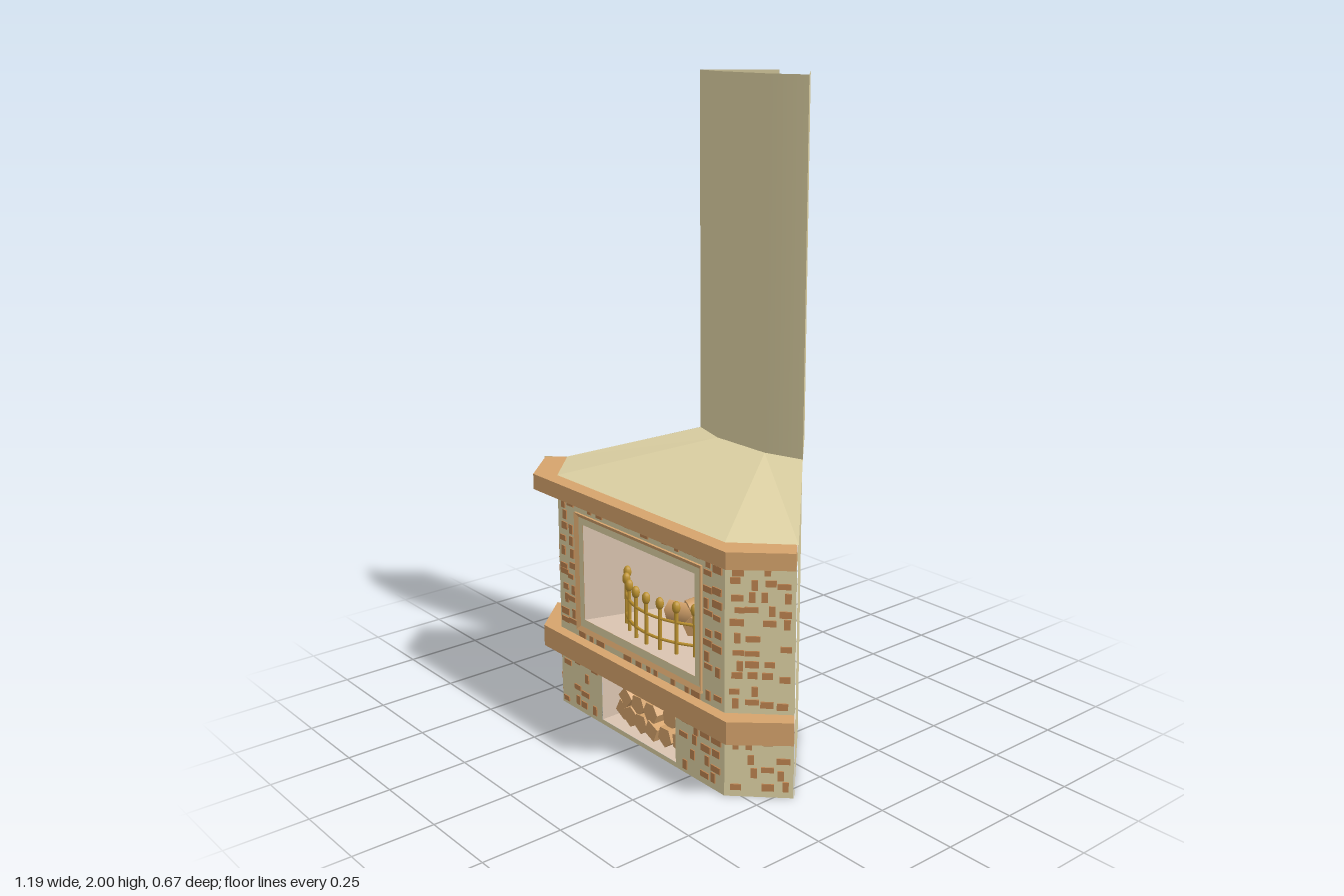
import * as THREE from 'three';
import { mergeGeometries } from 'three/addons/utils/BufferGeometryUtils.js';

const mat = (name, color, double) => {
  const m = new THREE.MeshStandardMaterial({ color });
  m.name = name;
  if (double) m.side = THREE.DoubleSide;
  return m;
};

// Open sheet made of flat convex polygons, each a list of [x, y, z]
function sheet(polys) {
  const pos = [];
  for (const p of polys)
    for (let i = 1; i < p.length - 1; i++) pos.push(...p[0], ...p[i], ...p[i + 1]);
  const g = new THREE.BufferGeometry();
  g.setAttribute('position', new THREE.Float32BufferAttribute(pos, 3));
  g.computeVertexNormals();
  return g;
}

const shapeOf = pts => new THREE.Shape(pts.map(p => new THREE.Vector2(...p)));
const rect = (x0, x1, y0, y1) => [[x0, y0], [x1, y0], [x1, y1], [x0, y1]];

export function createModel() {
  const model = new THREE.Group();
  const plaster = mat('cream plaster', 0xded2a4, true);
  const wood = mat('wood', 0xd6a46c);
  const brick = mat('brick', 0xbd8350);
  const lining = mat('pink lining', 0xdac4b0, true);
  const brass = mat('brass', 0xbf9430);

  const add = (name, geo, material, parent = model) => {
    const m = new THREE.Mesh(geo, material);
    m.name = name;
    parent.add(m);
    return m;
  };
  let seed = 11;
  const rnd = () => (seed = (seed * 16807) % 2147483647) / 2147483647;

  // Front wall with the fire and log openings
  const front = shapeOf(rect(-0.4, 0.4, 0, 0.77));
  front.holes.push(shapeOf(rect(-0.27, 0.27, 0.325, 0.64)), shapeOf(rect(-0.185, 0.18, 0.015, 0.175)));
  add('frontWall', new THREE.ShapeGeometry(front).translate(0, 0, 0.285), plaster);

  // Slanted cheeks, and rear walls that also close the shelf ends
  for (const s of [1, -1]) {
    add('cheek', sheet([[[s * 0.4, 0, 0.285], [s * 0.54, 0, 0.145], [s * 0.54, 0.77, 0.145], [s * 0.4, 0.77, 0.285]]]), plaster);
    const outline = shapeOf([[-0.16, 0], [0.145, 0], [0.145, 0.19], [0.18, 0.19], [0.18, 0.26], [0.145, 0.26],
      [0.145, 0.72], [0.2, 0.72], [0.2, 0.77], [0.145, 0.77], [-0.16, 0.88]]);
    const g = new THREE.ShapeGeometry(outline), p = g.attributes.position;
    for (let i = 0; i < p.count; i++) {
      const z = p.getX(i);
      p.setXYZ(i, s * (z + 0.397), p.getY(i), z - 0.001);
    }
    g.computeVertexNormals();
    add('rearWall', g, plaster);
  }

  // Hood rising from the upper shelf to the chimney
  const arc = [[-0.237, -0.163], [-0.11, -0.125], [0.11, -0.125], [0.237, -0.163]];
  const top = arc.map(([x, z]) => [x, 0.88, z]);
  const [a, b, c, d] = [[-0.545, 0.77, 0.145], [-0.4, 0.77, 0.285], [0.4, 0.77, 0.285], [0.545, 0.77, 0.145]];
  add('hood', sheet([[b, c, top[2], top[1]], [a, b, top[1]], [a, top[1], top[0]], [c, d, top[2]], [d, top[3], top[2]]]), plaster);

  // Chimney: smooth bowed front and two slanted wings
  const bow = new THREE.PlaneGeometry(1, 1.12, 3, 1), bp = bow.attributes.position;
  for (let i = 0; i < bp.count; i++) bp.setXYZ(i, arc[i % 4][0], bp.getY(i) + 1.44, arc[i % 4][1]);
  bow.computeVertexNormals();
  add('chimneyFront', bow, plaster);
  for (const s of [1, -1])
    add('chimneyWing', sheet([[[s * 0.237, 0.88, -0.163], [s * 0.067, 0.88, -0.333], [s * 0.067, 2, -0.333], [s * 0.237, 2, -0.163]]]), plaster);

  // Wooden shelves wrapped around the front
  const shelf = (name, x0, z0, x1, z1, y0, y1) => {
    const half = [[x0, z0], [x1, z1], [-x1, z1], [-x0, z0]];
    const ring = shapeOf([...half, [-0.54, 0.145], [-0.4, 0.284], [0.4, 0.284], [0.54, 0.145]]);
    const g = new THREE.ExtrudeGeometry(ring, { depth: y1 - y0, bevelEnabled: false });
    add(name, g.rotateX(Math.PI / 2).translate(0, y1, 0), wood);
  };
  shelf('upperShelf', 0.592, 0.198, 0.46, 0.335, 0.72, 0.77);
  shelf('lowerShelf', 0.575, 0.18, 0.447, 0.32, 0.19, 0.26);

  // Wooden frame sloping inward to the fire opening
  const rings = [[0.305, 0.285, 0.675, 0.284], [0.305, 0.285, 0.675, 0.293], [0.27, 0.322, 0.64, 0.272]]
    .map(([x, y0, y1, z]) => rect(-x, x, y0, y1).map(p => [...p, z]));
  const frame = [];
  for (let r = 0; r < 2; r++)
    for (let i = 0; i < 4; i++) {
      const j = (i + 1) % 4;
      frame.push([rings[r][i], rings[r][j], rings[r + 1][j], rings[r + 1][i]]);
    }
  add('fireFrame', sheet(frame), wood);

  // Firebox: tapering walls, floor, ceiling and a short open flue
  const fx = z => 0.1 + 0.17 * (z + 0.255) / 0.54;
  const Z = 0.284, M = -0.145, B = -0.255, F = 0.325, C = 0.65, T = 0.75;
  const row = (y, z) => [[-fx(z), y, z], [fx(z), y, z]];
  const band = (y0, z0, y1, z1) => [...row(y0, z0), ...row(y1, z1).reverse()];
  const box = [band(F, Z, F, B), band(C, Z, C, M), band(C, M, T, M), band(F, B, T, B)];
  for (const s of [1, -1])
    box.push([[s * fx(Z), F, Z], [s * fx(M), F, M], [s * fx(M), C, M], [s * fx(Z), C, Z]],
      [[s * fx(M), F, M], [s * 0.1, F, B], [s * 0.1, T, B], [s * fx(M), T, M]]);
  add('firebox', sheet(box), lining);

  // Log store: box open to the front
  const L = -0.185, R = 0.18, y0 = 0.015, y1 = 0.175, zb = -0.175;
  add('logStore', sheet([
    [[L, y0, Z], [R, y0, Z], [R, y0, zb], [L, y0, zb]], [[L, y1, Z], [L, y1, zb], [R, y1, zb], [R, y1, Z]],
    [[L, y0, zb], [R, y0, zb], [R, y1, zb], [L, y1, zb]], [[L, y0, Z], [L, y0, zb], [L, y1, zb], [L, y1, Z]],
    [[R, y0, Z], [R, y1, Z], [R, y1, zb], [R, y0, zb]]]), lining);

  // Stored split logs in two rows
  const logs = new THREE.Group();
  logs.name = 'storedLogs';
  model.add(logs);
  for (let i = 0; i < 10; i++) {
    const low = i < 6, n = low ? i : i - 6, sides = 4 + Math.floor(rnd() * 3);
    const g = new THREE.CylinderGeometry(0.034, 0.034, 0.3 + rnd() * 0.03, sides).toNonIndexed();
    g.computeVertexNormals();
    g.rotateY(rnd() * 6).rotateX(Math.PI / 2);
    add('splitLog', g, wood, logs).position.set((low ? -0.145 : -0.115) + n * (low ? 0.058 : 0.068), low ? 0.05 : 0.105, 0.08 + rnd() * 0.03);
  }

  // Logs on the fire
  const fireLog = (p, q, r, sides) => {
    const A = new THREE.Vector3(...p), D = new THREE.Vector3(...q).sub(A);
    const m = add('fireLog', new THREE.CylinderGeometry(r, r, D.length(), sides), wood);
    m.position.copy(A).addScaledVector(D, 0.5);
    m.quaternion.setFromUnitVectors(new THREE.Vector3(0, 1, 0), D.normalize());
  };
  fireLog([-0.03, 0.37, 0.06], [0.07, 0.44, -0.19], 0.036, 12);
  fireLog([-0.08, 0.36, -0.15], [0.06, 0.36, 0.12], 0.033, 5);
  fireLog([0.1, 0.36, 0.1], [-0.02, 0.4, -0.16], 0.033, 5);
  fireLog([-0.1, 0.36, 0.08], [0.1, 0.365, 0.02], 0.033, 5);

  // Bowed brass grate
  const grate = new THREE.Group();
  grate.name = 'grate';
  grate.position.z = -0.04;
  model.add(grate);
  const at = t => [0.29 * Math.sin(t), 0.29 * Math.cos(t)];
  for (let k = -4; k <= 4; k++) {
    const [x, z] = at(k * 0.2025);
    add('grateBar', new THREE.CylinderGeometry(0.006, 0.006, 0.14, 8).translate(x, 0.395, z), brass, grate);
    add('grateFinial', new THREE.SphereGeometry(0.013, 10, 8).scale(1, 1.5, 1).translate(x, 0.473, z), brass, grate);
  }
  for (const y of [0.36, 0.425]) {
    const pts = [];
    for (let k = -8; k <= 8; k++) {
      const [x, z] = at(k * 0.10125);
      pts.push(new THREE.Vector3(x, y, z));
    }
    add('grateRail', new THREE.TubeGeometry(new THREE.CatmullRomCurve3(pts), 24, 0.005, 6), brass, grate);
  }

  // Scattered bricks set into the plaster, area by area
  const bricks = (name, areas, x, turn) => {
    const parts = [];
    for (const [u0, u1, v0, v1] of areas) {
      const cols = Math.max(1, Math.round((u1 - u0) / 0.045)), rows = Math.max(1, Math.round((v1 - v0) / 0.04));
      const cw = (u1 - u0) / cols, rh = (v1 - v0) / rows;
      for (let i = 0; i < cols; i++)
        for (let j = 0; j < rows; j++) {
          if (rnd() < 0.2) continue;
          const tall = rnd() < 0.4;
          const w = Math.min(cw, tall ? 0.018 : 0.026 + rnd() * 0.016), h = Math.min(rh, tall ? 0.03 : 0.015 + rnd() * 0.008);
          const u = u0 + i * cw + w / 2 + rnd() * (cw - w), v = v0 + j * rh + h / 2 + rnd() * (rh - h);
          parts.push(new THREE.BoxGeometry(w, h, 0.008).translate(u, v, 0));
        }
    }
    const m = add(name, mergeGeometries(parts), brick);
    m.position.set(x, 0, 0.285);
    m.rotation.y = turn;
  };
  bricks('frontBricks', [[-0.39, -0.31, 0.27, 0.71], [0.31, 0.39, 0.27, 0.71], [-0.3, 0.3, 0.682, 0.716],
    [-0.3, 0.3, 0.263, 0.282], [-0.39, -0.2, 0.01, 0.185], [0.2, 0.39, 0.01, 0.185]], 0, 0);
  bricks('leftCheekBricks', [[0.01, 0.19, 0.01, 0.185], [0.01, 0.19, 0.27, 0.71]], 0.4, Math.PI / 4);
  bricks('rightCheekBricks', [[-0.19, -0.01, 0.01, 0.185], [-0.19, -0.01, 0.27, 0.71]], -0.4, -Math.PI / 4);

  return model;
}
